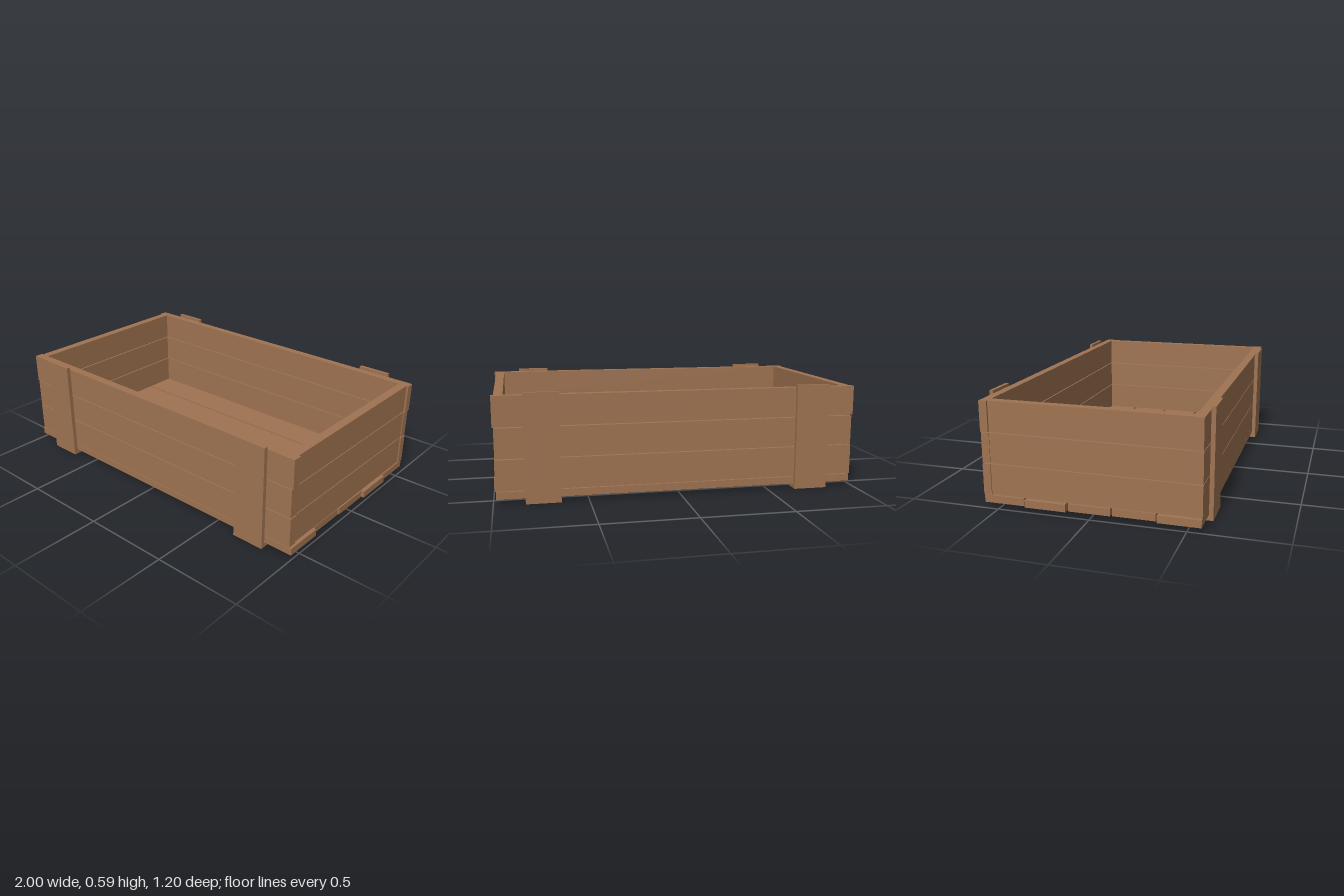
import * as THREE from 'three';

export function createModel() {
  const crate = new THREE.Group();
  crate.name = 'woodenCrate';
  const wood = new THREE.MeshStandardMaterial({ color: 0x9f7351 });
  wood.name = 'brown wood';

  // A plank given by its extents on each axis
  function plank(name, [x0, x1], [y0, y1], [z0, z1]) {
    const mesh = new THREE.Mesh(new THREE.BoxGeometry(x1 - x0, y1 - y0, z1 - z0), wood);
    mesh.position.set((x0 + x1) / 2, (y0 + y1) / 2, (z0 + z1) / 2);
    mesh.name = name;
    crate.add(mesh);
    return mesh;
  }

  // Floor planks: near edge, far edge, half length
  const floor = [
    [-0.58, -0.36, 0.985], [-0.35, -0.127, 1], [-0.117, 0.106, 0.985],
    [0.116, 0.34, 0.98], [0.35, 0.572, 0.998],
  ];
  floor.forEach(([z0, z1, half], i) =>
    plank('floorPlank' + (i + 1), [-half, half], [0.026, 0.066], [z0, z1]));

  // Three courses of wall boards: bottom, top, half length
  const courses = [[0.071, 0.237, 0.988], [0.242, 0.404, 0.986], [0.409, 0.572, 0.993]];
  courses.forEach(([y0, y1, half], i) => {
    const n = i + 1;
    plank('frontBoard' + n, [-half, half], [y0, y1], [0.525, 0.574]);
    plank('backBoard' + n, [-half, half], [y0, y1], [-0.582, -0.538]);
    plank('leftEndBoard' + n, [0.932, 0.981], [y0, y1], [-0.538, 0.525]);
    plank('rightEndBoard' + n, [-0.983, -0.934], [y0, y1], [-0.538, 0.525]);
  });

  // Battens under the floor and upright posts on both long sides
  for (const side of [-1, 1]) {
    const label = side > 0 ? 'left' : 'right';
    const x = side > 0 ? [0.648, 0.834] : [-0.838, -0.652];
    plank(label + 'Batten', x, [0, 0.026], [-0.582, 0.575]);
    plank(label + 'FrontPost', x, [0, 0.587], [0.575, 0.598]);
    plank(label + 'BackPost', x, [0, 0.588], [-0.602, -0.582]);
  }
  return crate;
}
